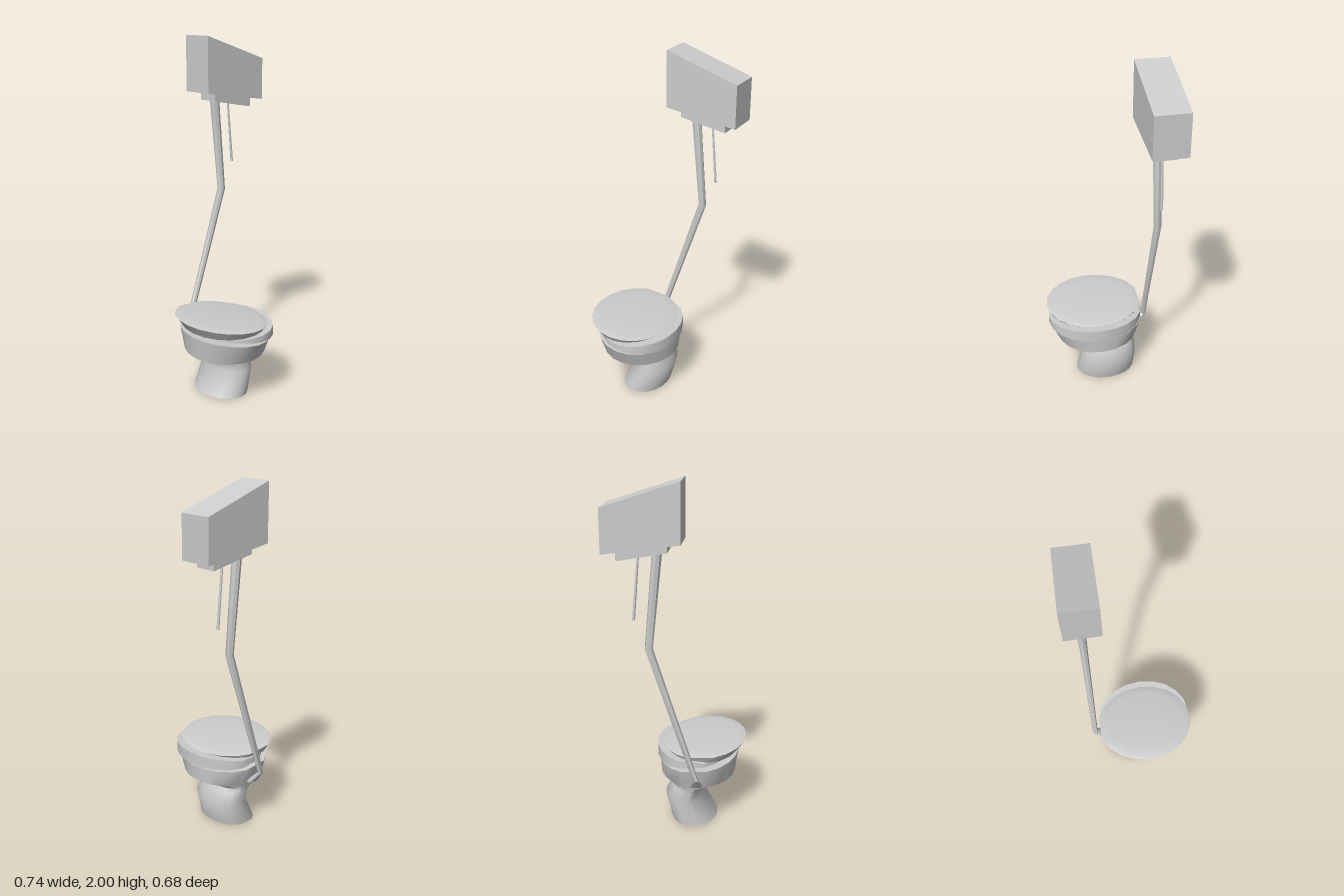
import * as THREE from 'three';
import { toCreasedNormals } from 'three/addons/utils/BufferGeometryUtils.js';

const material = new THREE.MeshStandardMaterial({ color: 0xcccccc, side: THREE.DoubleSide });

// One oval section: x range, z range, and its height at the left and right ends of the x range
const ring = (x0, x1, z0, z1, y0, y1 = y0) => ({ x0, x1, z0, z1, y0, y1 });

// Small round section for pipes
const round = (x, y, z, r, tilt = 0) => ring(x - r, x + r, z - r, z + r, y - tilt, y + tilt);

// Skin a stack of oval sections; caps close both ends. flat trims the back of each oval.
function loft(rings, sides, { caps = true, flat = 1, crease = 0.6 } = {}) {
  const pos = [], index = [];
  for (const r of rings) {
    for (let j = 0; j < sides; j++) {
      const a = (j / sides) * Math.PI * 2;
      const u = (Math.cos(a) + 1) / 2;
      const v = (Math.max(Math.sin(a), -flat) / (Math.sin(a) < 0 ? flat : 1) + 1) / 2;
      pos.push(
        THREE.MathUtils.lerp(r.x0, r.x1, u),
        THREE.MathUtils.lerp(r.y0, r.y1, u),
        THREE.MathUtils.lerp(r.z0, r.z1, v)
      );
    }
  }
  for (let i = 0; i < rings.length - 1; i++) {
    for (let j = 0; j < sides; j++) {
      const k = (j + 1) % sides;
      const a = i * sides + j, b = i * sides + k;
      index.push(a, a + sides, b, b, a + sides, b + sides);
    }
  }
  if (caps) {
    [0, rings.length - 1].forEach((i, top) => {
      const r = rings[i], c = pos.length / 3;
      pos.push((r.x0 + r.x1) / 2, (r.y0 + r.y1) / 2, (r.z0 + r.z1) / 2);
      for (let j = 0; j < sides; j++) {
        const a = i * sides + j, b = i * sides + ((j + 1) % sides);
        if (top) index.push(c, b, a);
        else index.push(c, a, b);
      }
    });
  }
  const geo = new THREE.BufferGeometry();
  geo.setAttribute('position', new THREE.Float32BufferAttribute(pos, 3));
  geo.setIndex(index);
  return toCreasedNormals(geo, crease);
}

// Box whose top and bottom slope along x
function slantedBox(x0, x1, z0, z1, [bottom0, bottom1], [top0, top1]) {
  const geo = new THREE.BoxGeometry(1, 1, 1);
  const p = geo.attributes.position;
  for (let i = 0; i < p.count; i++) {
    const right = p.getX(i) > 0, up = p.getY(i) > 0;
    const y = up ? (right ? top1 : top0) : (right ? bottom1 : bottom0);
    p.setXYZ(i, right ? x1 : x0, y, p.getZ(i) > 0 ? z1 : z0);
  }
  geo.computeVertexNormals();
  return geo;
}

export function createModel() {
  const group = new THREE.Group();
  const add = (name, geometry) => {
    const mesh = new THREE.Mesh(geometry, material);
    mesh.name = name;
    group.add(mesh);
  };

  // Leaning pedestal flaring into a hollow bowl with a tilted rim
  add('bowl', loft([
    ring(-0.214, 0.055, -0.178, 0.17, 0),
    ring(-0.14, 0.09, -0.178, 0.155, 0.145),
    ring(-0.15, 0.055, -0.178, 0.143, 0.215),
    ring(-0.17, 0.045, -0.18, 0.15, 0.238),
    ring(-0.31, 0.125, -0.19, 0.278, 0.27),
    ring(-0.327, 0.13, -0.222, 0.328, 0.40, 0.36),
    ring(-0.26, 0.07, -0.14, 0.25, 0.394, 0.365),
    ring(-0.21, 0.01, -0.06, 0.17, 0.285),
  ], 20, { flat: 0.95, crease: 0.8 }));

  // Wedge-shaped seat, thin on the right-hand side of the model
  const seatBottom = ring(-0.293, 0.147, -0.21, 0.335, 0.415, 0.375);
  add('seat', loft([
    seatBottom,
    ring(-0.293, 0.147, -0.21, 0.335, 0.419, 0.445),
    ring(-0.2, 0.06, -0.1, 0.22, 0.424, 0.44),
    ring(-0.2, 0.06, -0.1, 0.22, 0.407, 0.383),
    seatBottom,
  ], 20, { caps: false, flat: 0.95 }));

  // Lid with undercut edge and a gently raised top
  add('lid', loft([
    ring(-0.33, 0.1, -0.205, 0.318, 0.428, 0.449),
    ring(-0.37, 0.108, -0.22, 0.338, 0.488, 0.452),
    ring(-0.345, 0.095, -0.2, 0.322, 0.492, 0.457),
    ring(-0.3, 0.065, -0.155, 0.285, 0.493, 0.463),
  ], 20, { flat: 0.95 }));

  // Bent flush pipe, widening towards the tank, with a flared elbow into the bowl
  add('flushPipe', loft([
    ring(-0.145, -0.06, -0.22, -0.16, 0.275),
    ring(-0.137, -0.08, -0.245, -0.205, 0.31),
    ring(-0.128, -0.092, -0.272, -0.24, 0.345),
    round(0.142, 1.115, -0.254, 0.022, -0.003),
    round(0.093, 1.64, -0.252, 0.027, -0.003),
  ], 8));

  // High tank with sloping top, and the mounting plate under it
  add('tank', slantedBox(-0.038, 0.367, -0.34, -0.15, [1.69, 1.632], [2, 1.865]));
  add('tankPlate', slantedBox(0.035, 0.297, -0.302, -0.178, [1.64, 1.592], [1.69, 1.65]));

  // Pull rod hanging from the plate
  add('pullRod', loft([
    round(0.221, 1.27, -0.25, 0.008),
    round(0.19, 1.63, -0.25, 0.006),
  ], 6));

  return group;
}
